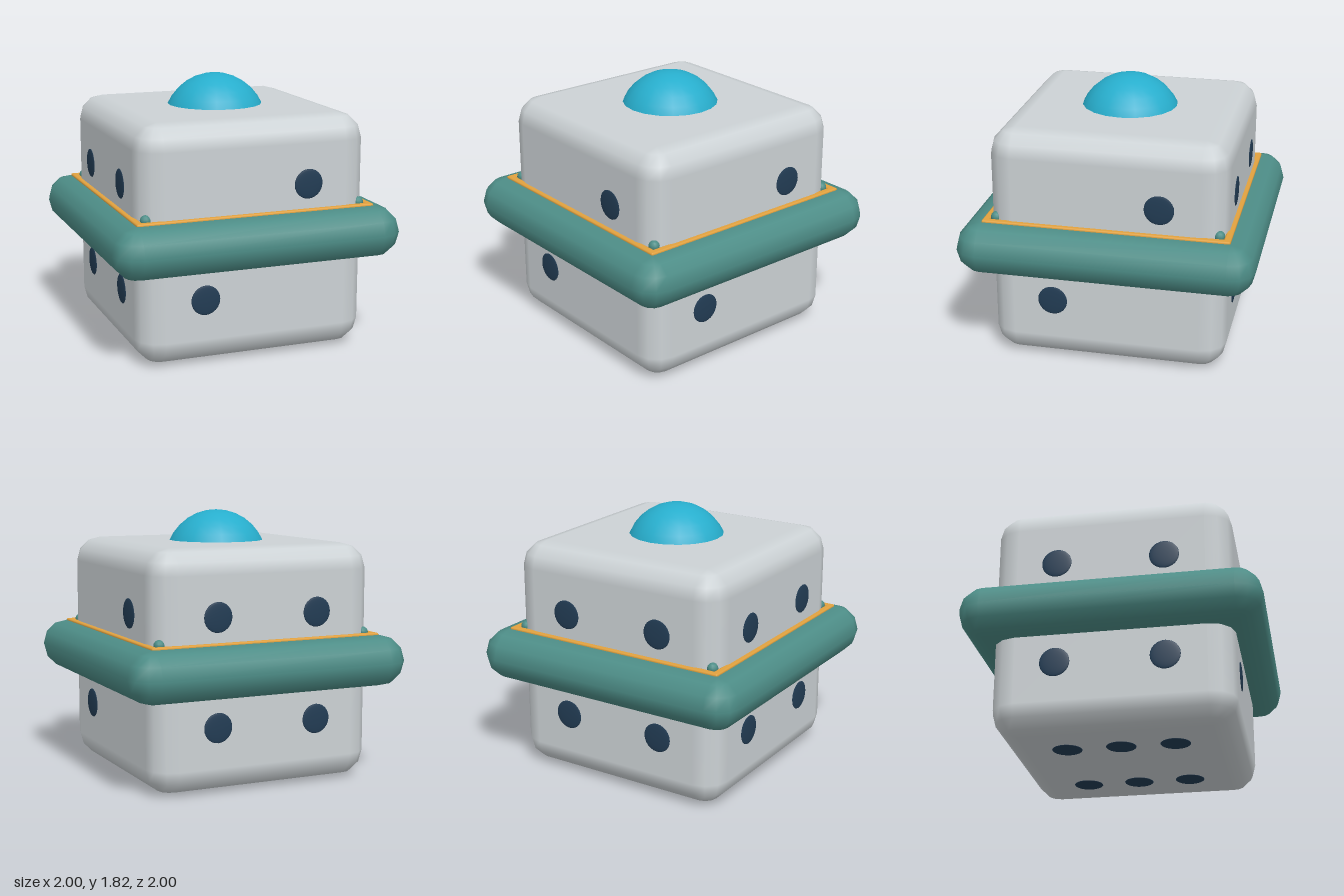
import * as THREE from 'three';

const material = (name, color) => new THREE.MeshStandardMaterial({ name, color });

// Box with rounded edges: an eight-part sphere pulled apart to the box corners
function roundedBox(w, h, d, r, steps = 3) {
  const pos = [], nor = [], index = [];
  const arc = (quarter) => Array.from({ length: steps + 1 }, (_, i) => (quarter + i / steps) * Math.PI / 2);
  const cols = 4 * (steps + 1), rows = 2 * (steps + 1);
  for (const q of [-1, 0]) for (const phi of arc(q)) {
    for (let k = 0; k < 4; k++) for (const t of arc(k)) {
      const n = [Math.cos(phi) * Math.sin(t), Math.sin(phi), Math.cos(phi) * Math.cos(t)];
      const sx = k < 2 ? 1 : -1, sy = q < 0 ? -1 : 1, sz = k === 0 || k === 3 ? 1 : -1;
      pos.push(n[0] * r + sx * (w / 2 - r), n[1] * r + sy * (h / 2 - r), n[2] * r + sz * (d / 2 - r));
      nor.push(...n);
    }
  }
  for (let i = 0; i < rows - 1; i++) for (let j = 0; j < cols; j++) {
    const a = i * cols + j, b = i * cols + (j + 1) % cols;
    index.push(a, b, b + cols, a, b + cols, a + cols);
  }
  // Flat bottom and top
  const s = steps + 1, t = (rows - 1) * cols;
  index.push(0, 2 * s, s, 0, 3 * s, 2 * s);
  index.push(t, t + s, t + 2 * s, t, t + 2 * s, t + 3 * s);
  const g = new THREE.BufferGeometry();
  g.setAttribute('position', new THREE.Float32BufferAttribute(pos, 3));
  g.setAttribute('normal', new THREE.Float32BufferAttribute(nor, 3));
  g.setIndex(index);
  return g;
}

export function createModel() {
  const model = new THREE.Group();
  model.name = 'ringedDie';
  const shell = material('pale grey', 0xccd2d5);
  const teal = material('teal', 0x4d8d87);
  const gold = material('gold', 0xe2a23f);
  const cyan = material('cyan', 0x27aecd);
  const navy = material('navy', 0x223c54);

  const add = (name, geometry, mat, x, y, z, parent = model) => {
    const mesh = new THREE.Mesh(geometry, mat);
    mesh.name = name;
    mesh.position.set(x, y, z);
    parent.add(mesh);
    return mesh;
  };

  // Cube body, belt around it and dome on top
  add('body', roundedBox(1.6, 1.6, 1.6, 0.17), shell, 0, 0.81, 0);
  add('belt', roundedBox(2, 0.346, 2, 0.17), teal, 0, 0.817, 0);
  add('dome', new THREE.SphereGeometry(0.36, 20, 16), cyan, 0, 1.46, 0);

  // Trim frame and corner studs on the belt
  const bar = roundedBox(1.66, 0.05, 0.05, 0.012, 2);
  const stud = new THREE.SphereGeometry(0.037, 12, 8);
  for (let i = 0; i < 4; i++) {
    const side = new THREE.Group();
    side.name = 'trimSide';
    side.rotation.y = i * Math.PI / 2;
    add('trimBar', bar, gold, 0, 0.979, 0.805, side);
    add('cornerStud', stud, teal, 0.748, 1.005, 0.748, side);
    model.add(side);
  }

  // Pips: shallow lenses set into the faces, laid out in face coordinates
  const pip = new THREE.SphereGeometry(0.1, 24, 12);
  pip.rotateX(Math.PI / 2);
  pip.scale(1, 1, 0.09);
  const s = 0.36;
  const four = [[s, s], [-s, s], [s, -s], [-s, -s]];
  const two = [[s, s], [-s, -s]];
  const six = [...four, [s, 0], [-s, 0]];
  const faces = [
    ['frontPips', 0, 0, two],
    ['leftPips', 0, Math.PI / 2, two],
    ['backPips', 0, Math.PI, four],
    ['rightPips', 0, -Math.PI / 2, four],
    ['bottomPips', Math.PI / 2, 0, six],
  ];
  for (const [name, rx, ry, spots] of faces) {
    const face = new THREE.Group();
    face.name = name;
    face.position.y = 0.81;
    face.rotation.set(rx, ry, 0);
    for (const [x, y] of spots) add('pip', pip, navy, x, y, 0.8, face);
    model.add(face);
  }
  return model;
}
